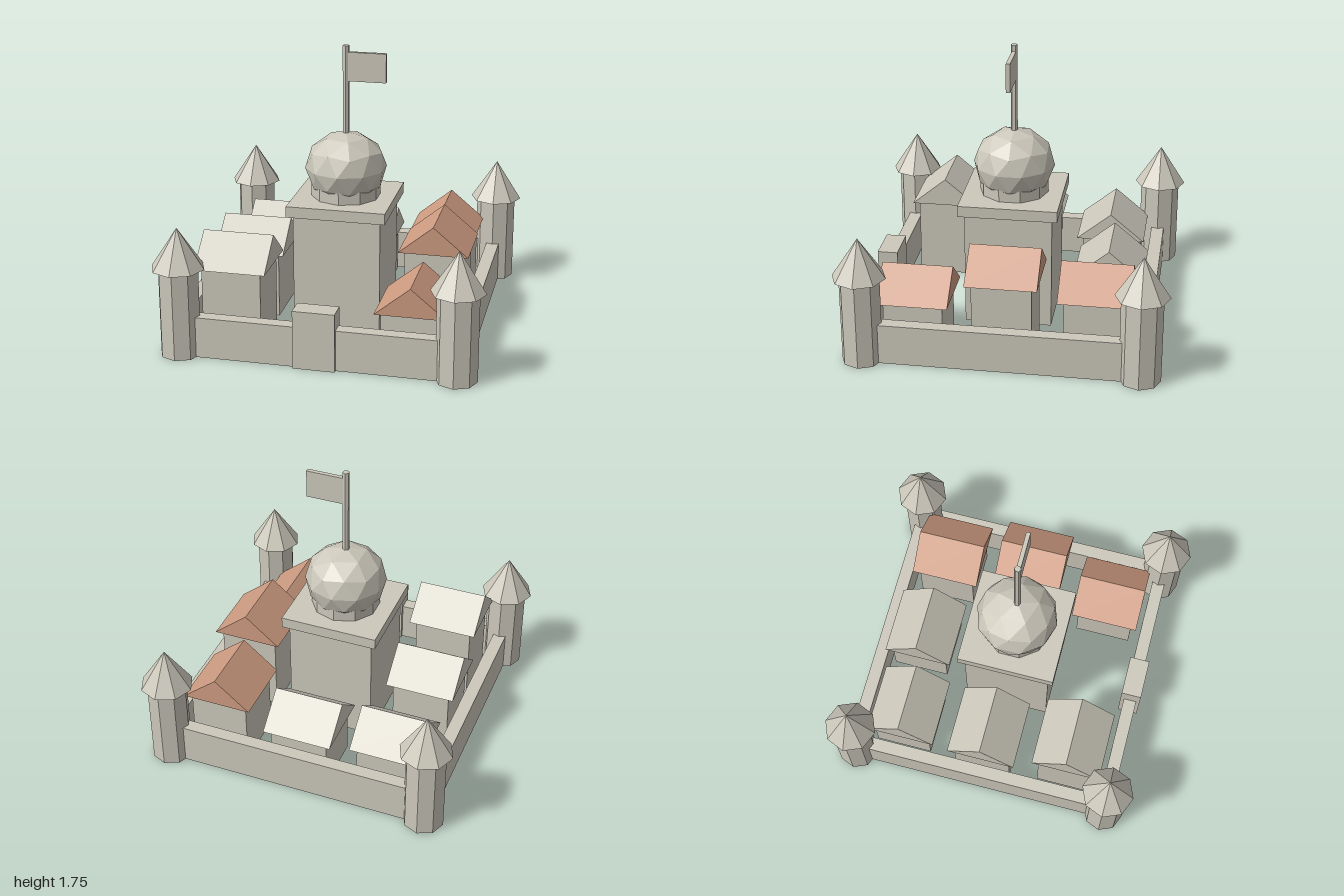
import * as THREE from 'three';

export function createModel() {
  const stone = new THREE.MeshStandardMaterial({ color: 0xccc8bb });
  stone.name = 'stone';
  const clay = new THREE.MeshStandardMaterial({ color: 0xcd9b81 });
  clay.name = 'clay';

  const model = new THREE.Group();
  model.name = 'walledTown';

  const add = (parent, name, geometry, material, x, y, z) => {
    const flat = geometry.index ? geometry.toNonIndexed() : geometry;
    flat.computeVertexNormals();
    const mesh = new THREE.Mesh(flat, material);
    mesh.name = name;
    mesh.position.set(x, y, z);
    parent.add(mesh);
    return mesh;
  };
  // Box standing on height y
  const box = (parent, name, w, h, d, x, y, z) =>
    add(parent, name, new THREE.BoxGeometry(w, h, d), stone, x, y + h / 2, z);

  // Corner towers with pointed roofs
  const C = 0.835;
  for (const x of [-C, C]) {
    for (const z of [-C, C]) {
      const tower = new THREE.Group();
      tower.name = 'cornerTower';
      tower.position.set(x, 0, z);
      add(tower, 'towerShaft', new THREE.CylinderGeometry(0.125, 0.125, 0.55, 8), stone, 0, 0.275, 0);
      add(tower, 'towerRoof', new THREE.ConeGeometry(0.163, 0.25, 8), stone, 0, 0.675, 0);
      model.add(tower);
    }
  }

  // Perimeter walls and gatehouse
  for (const s of [-1, 1]) {
    box(model, s > 0 ? 'frontWall' : 'backWall', 2 * C, 0.255, 0.082, 0, 0, s * C);
    box(model, s > 0 ? 'leftWall' : 'rightWall', 0.082, 0.255, 2 * C, s * C, 0, 0);
  }
  box(model, 'gatehouse', 0.254, 0.365, 0.127, 0, 0, C);

  // Central keep: block, cornice, drum, faceted dome
  const keep = new THREE.Group();
  keep.name = 'keep';
  keep.position.z = 0.035;
  model.add(keep);
  box(keep, 'keepBlock', 0.543, 0.73, 0.543, 0, 0, 0);
  box(keep, 'keepCornice', 0.615, 0.07, 0.615, 0, 0.73, 0);
  add(keep, 'domeDrum', new THREE.CylinderGeometry(0.215, 0.215, 0.1, 10), stone, 0, 0.85, 0);
  const dome = new THREE.IcosahedronGeometry(1, 1);
  dome.rotateZ(-Math.atan(2 / (1 + Math.sqrt(5)))); // put a vertex at the pole
  dome.scale(0.254, 0.225, 0.254);
  add(keep, 'dome', dome, stone, 0, 0.983, 0);

  // Flagpole and flag
  add(keep, 'flagpole', new THREE.CylinderGeometry(0.021, 0.021, 0.6, 6), stone, 0, 1.45, 0);
  box(keep, 'flag', 0.25, 0.18, 0.026, 0.125, 1.53, 0);

  // Houses: cubic body under an overhanging gabled prism roof
  const house = (name, x, z, eaves, roofMaterial, ridgeAlongX) => {
    const group = new THREE.Group();
    group.name = name;
    group.position.set(x, 0, z);
    box(group, 'houseBody', 0.362, eaves, 0.362, 0, 0, 0);
    const R = 0.2175;
    const gable = new THREE.Shape([
      new THREE.Vector2(-R, 0), new THREE.Vector2(R, 0), new THREE.Vector2(0, 0.18),
    ]);
    const roof = new THREE.ExtrudeGeometry(gable, { depth: 2 * R, bevelEnabled: false });
    roof.translate(0, 0, -R);
    if (ridgeAlongX) roof.rotateY(Math.PI / 2);
    add(group, 'houseRoof', roof, roofMaterial, 0, eaves, 0);
    model.add(group);
  };
  house('stoneHouseBack', -0.547, -0.547, 0.33, stone, true);
  house('stoneHouseMiddle', -0.583, 0, 0.42, stone, true);
  house('stoneHouseFront', -0.547, 0.545, 0.51, stone, true);
  house('stoneHouseCentre', 0, -0.585, 0.33, stone, true);
  house('clayHouseBack', 0.545, -0.547, 0.42, clay, false);
  house('clayHouseMiddle', 0.583, 0, 0.51, clay, false);
  house('clayHouseFront', 0.545, 0.545, 0.33, clay, false);

  return model;
}
